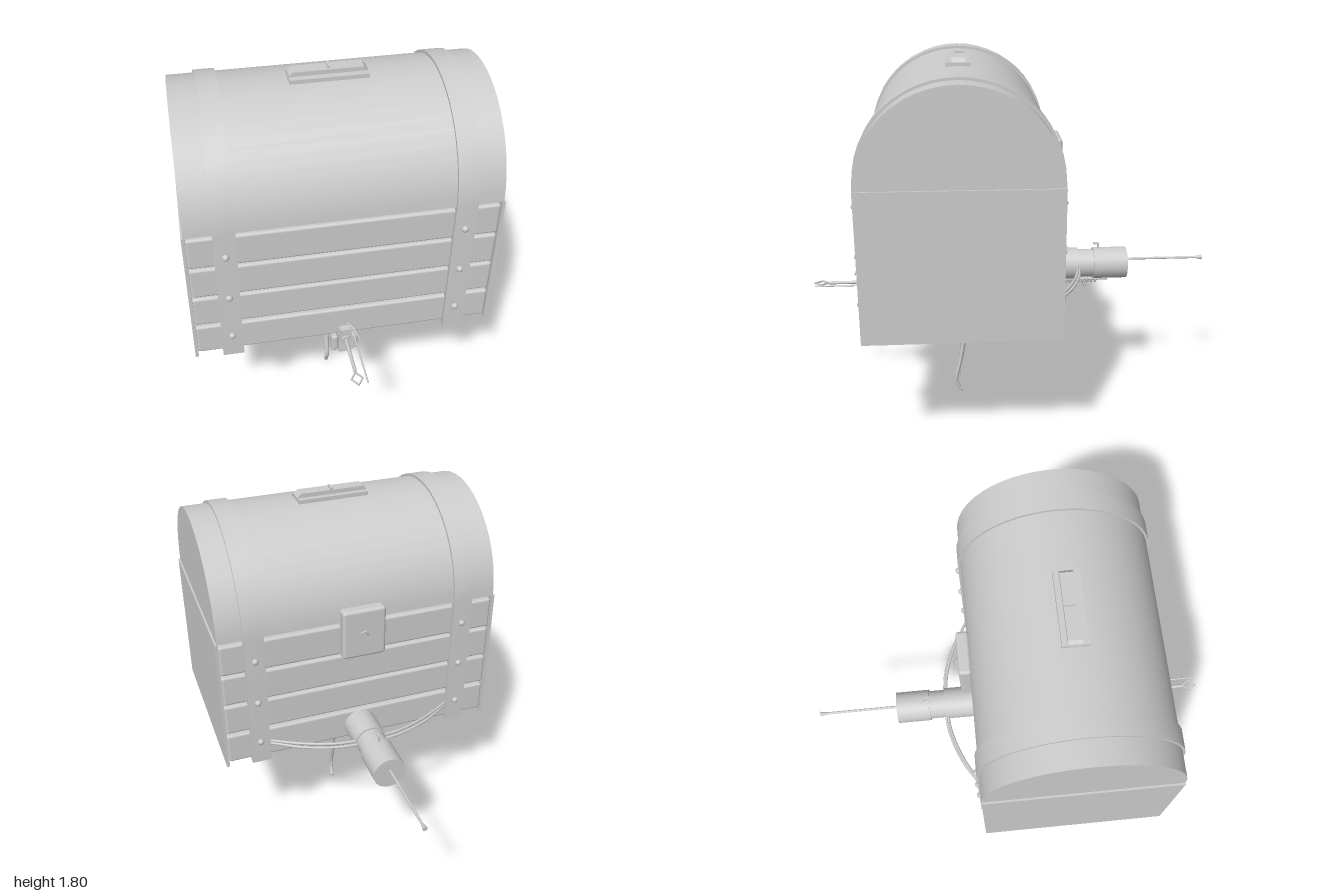
import * as THREE from 'three';
import { toCreasedNormals } from 'three/addons/utils/BufferGeometryUtils.js';
import { RoundedBoxGeometry } from 'three/addons/geometries/RoundedBoxGeometry.js';

const CZ = 0.245; // depth centre of the chest
const HALF = 0.445; // half depth
const SPRING = 1.325; // height where the lid begins

export function createModel() {
  const model = new THREE.Group();
  const gray = new THREE.MeshStandardMaterial({ color: 0xcccccc });
  gray.name = 'plain gray';

  const add = (name, geometry, x = 0, y = 0, z = 0, rx = 0) => {
    const mesh = new THREE.Mesh(geometry, gray);
    mesh.name = name;
    mesh.position.set(x, y, z);
    mesh.rotation.x = rx;
    model.add(mesh);
    return mesh;
  };
  // box from min and max corners, optionally rounded
  const block = (name, x0, x1, y0, y1, z0, z1, r = 0) => {
    const s = [x1 - x0, y1 - y0, z1 - z0];
    const g = r ? new RoundedBoxGeometry(...s, 2, r) : new THREE.BoxGeometry(...s);
    return add(name, g, (x0 + x1) / 2, (y0 + y1) / 2, (z0 + z1) / 2);
  };
  const tube = (name, points, r, segments = 16) =>
    add(name, new THREE.TubeGeometry(
      new THREE.CatmullRomCurve3(points.map((p) => new THREE.Vector3(...p))), segments, r, 8));
  const rod = (name, r0, r1, z0, z1, x, y) =>
    add(name, new THREE.CylinderGeometry(r1, r0, z1 - z0, 24), x, y, (z0 + z1) / 2, Math.PI / 2);
  // extrude a (z, y) profile along x
  const profile = (name, points, x0, x1, crease = 0.5) => {
    const shape = new THREE.Shape(points.map(([z, y]) => new THREE.Vector2(-z, y)));
    const g = new THREE.ExtrudeGeometry(shape, { depth: x1 - x0, bevelEnabled: false });
    g.rotateY(Math.PI / 2);
    g.translate(x0, 0, 0);
    return add(name, toCreasedNormals(g, crease));
  };
  const arch = (e) => Array.from({ length: 25 }, (_, i) => {
    const a = (i / 24) * Math.PI;
    return [CZ + (HALF + e) * Math.cos(a), SPRING + (0.435 + e) * Math.sin(a)];
  });

  // chest body, planks and rounded lid
  block('core', -0.665, 0.665, 0.665, SPRING, CZ - 0.41, CZ + 0.41);
  [0.65, 0.82, 0.985, 1.15].forEach((y) => {
    block('frontPlank', -0.67, 0.67, y, y + 0.155, 0.63, 0.685, 0.012);
    block('backPlank', -0.67, 0.67, y, y + 0.155, -0.195, -0.14, 0.012);
  });
  profile('lid', arch(0), -0.675, 0.675);

  [-1, 1].forEach((side) => {
    const cx = side * 0.677;
    block('endPanel', cx - 0.007, cx + 0.007, 0.63, SPRING, CZ - HALF, CZ + HALF);
    // strap running up the front, over the lid and down the back
    const outer = arch(0.012);
    const inner = arch(-0.015).reverse();
    const x = side * 0.512;
    profile('strap', [
      [CZ + HALF + 0.012, 0.63], ...outer, [CZ - HALF - 0.012, 0.63],
      [CZ - HALF + 0.015, 0.63], ...inner, [CZ + HALF - 0.015, 0.63],
    ], x - 0.047, x + 0.047);
    [0.75, 0.98, 1.21].forEach((y) => {
      [CZ + HALF + 0.012, CZ - HALF - 0.012].forEach((z) => {
        add('rivet', new THREE.SphereGeometry(0.016, 12, 8), x, y, z);
      });
    });
    // bowed braces from the back straps to the barrel
    [0.735, 0.72].forEach((y, i) => tube('brace', [
      [side * 0.46, y, -0.2], [side * 0.32, y, -0.275 - i * 0.01],
      [side * 0.16, y, -0.33 - i * 0.01], [0, y, -0.345 - i * 0.01],
    ], 0.007));
  });

  // lid plate
  const plate = new THREE.Shape([
    [-0.175, 1.76], [-0.17, 1.78], [-0.155, 1.795], [0.15, 1.795], [0.168, 1.775], [0.165, 1.755],
  ].reverse().map((p) => new THREE.Vector2(...p)));
  const plateGeo = new THREE.ExtrudeGeometry(plate, { depth: 0.06, bevelEnabled: false });
  add('lidPlate', plateGeo, 0, 0, CZ - 0.035);
  block('lidPlateBase', -0.172, 0.168, 1.745, 1.775, 0.185, 0.3);
  block('lidPin', -0.005, 0.005, 1.79, 1.805, 0.21, 0.26);

  // box on the back
  block('backBox', -0.105, 0.105, 1.15, 1.4, -0.25, -0.19, 0.015);
  tube('backBoxHook', [[0.02, 1.28, -0.25], [0, 1.29, -0.256], [-0.02, 1.265, -0.252]], 0.004);

  // barrel with its rod and pointed tip
  rod('barrelInner', 0.072, 0.072, -0.44, -0.18, 0, 0.722);
  rod('barrelOuter', 0.08, 0.08, -0.6, -0.43, 0, 0.722);
  rod('barrelCollar', 0.08, 0.08, -0.35, -0.18, 0, 0.722);
  rod('barrelRod', 0.006, 0.006, -0.98, -0.59, 0, 0.74);
  rod('barrelTip', 0.012, 0.002, -1, -0.945, 0, 0.74);
  block('barrelSight', -0.005, 0.005, 0.795, 0.83, -0.46, -0.452);
  block('barrelSightArm', -0.005, 0.005, 0.824, 0.832, -0.458, -0.432);
  tube('trigger', [[0, 0.67, -0.365], [0, 0.63, -0.38], [0, 0.59, -0.395]], 0.007);
  tube('triggerGuard', [[0, 0.66, -0.44], [0, 0.63, -0.42], [0, 0.625, -0.38]], 0.004);

  // ribbed rod below the barrel
  rod('ribbedRod', 0.009, 0.009, -0.51, 0.04, 0, 0.635);
  for (let i = 0; i < 14; i++) {
    add('rib', new THREE.TorusGeometry(0.012, 0.006, 6, 12), 0, 0.632, -0.16 - i * 0.022);
  }
  rod('ribbedRodCollar', 0.024, 0.024, -0.05, -0.02, 0, 0.63);
  profile('ribbedRodWedge', [[0.03, 0.645], [-0.16, 0.615], [-0.16, 0.605], [-0.06, 0.625], [0.03, 0.63]]
    .reverse(), -0.02, 0.02);

  // box hanging under the chest
  block('lowerBox', -0.335, 0.335, 0.44, 0.68, 0.045, 0.44, 0.035);
  block('lowerBoxFrontPanel', -0.31, 0.31, 0.575, 0.65, 0.42, 0.446);
  block('lowerBoxClasp', -0.07, 0.07, 0.48, 0.64, 0.03, 0.06, 0.01);
  block('lowerBoxLatch', -0.065, 0.065, 0.555, 0.67, 0.43, 0.51, 0.012);
  add('lowerDisc', new THREE.CylinderGeometry(0.155, 0.12, 0.035, 32), 0, 0.427, CZ);
  block('lowerDiscTab', 0.08, 0.158, 0.41, 0.443, 0.2, 0.29);

  // bent tapering tail and thin cord
  const tail = new THREE.CatmullRomCurve3([
    [0, 0.42, 0.235], [0, 0.3, 0.24], [0, 0.18, 0.26], [0, 0.07, 0.284], [0, 0.005, 0.26],
  ].map((p) => new THREE.Vector3(...p)), false, 'catmullrom', 0.3);
  const tailGeo = new THREE.TubeGeometry(tail, 24, 0.018, 10);
  const pos = tailGeo.attributes.position;
  for (let i = 0; i < pos.count; i++) {
    const t = Math.floor(i / 11) / 24;
    const c = tail.getPointAt(t);
    const k = 1 - 0.45 * t;
    pos.setXYZ(i, pos.getX(i) * k, Math.max(0, c.y + (pos.getY(i) - c.y) * k),
      c.z + (pos.getZ(i) - c.z) * k * 0.8);
  }
  tailGeo.computeVertexNormals();
  add('tail', tailGeo);
  add('tailEnd', new THREE.CylinderGeometry(0.011, 0.009, 0.012, 10), 0, 0.006, 0.26);
  tube('tailCord', [[0, 0.42, 0.262], [0, 0.25, 0.262], [0, 0.08, 0.265]], 0.004);

  // front latch, bracket and hook
  profile('frontBracket', [
    [0.69, 0.7], [0.708, 0.7], [0.715, 0.56], [0.63, 0.54], [0.51, 0.57], [0.51, 0.64], [0.69, 0.64],
  ].reverse(), -0.03, 0.03);
  [-1, 1].forEach((s) => block('bracketEar', s * 0.047 - 0.015, s * 0.047 + 0.015, 0.555, 0.645, 0.66, 0.7, 0.008));
  block('frontLatch', -0.025, 0.025, 0.63, 0.705, 0.69, 0.72);
  rod('latchCollar', 0.024, 0.024, 0.7, 0.728, 0, 0.645);
  rod('frontRod', 0.008, 0.008, 0.7, 0.92, 0, 0.645);
  rod('sideRod', 0.004, 0.004, 0.69, 0.985, 0.042, 0.645);
  tube('frontHook', [
    [0, 0.73, 0.69], [0.005, 0.748, 0.72], [0.025, 0.745, 0.755], [0.05, 0.705, 0.782],
  ], 0.005);

  // open diamond at the end of the front rod
  const diamond = (w, l) => [[0, -l], [w, 0], [0, l], [-w, 0]].map((p) => new THREE.Vector2(...p));
  const frame = new THREE.Shape(diamond(0.029, 0.04));
  frame.holes.push(new THREE.Path(diamond(0.022, 0.031).reverse()));
  const frameGeo = new THREE.ExtrudeGeometry(frame, { depth: 0.008, bevelEnabled: false });
  add('diamondLoop', frameGeo, 0, 0.649, 0.955, Math.PI / 2);

  return model;
}
